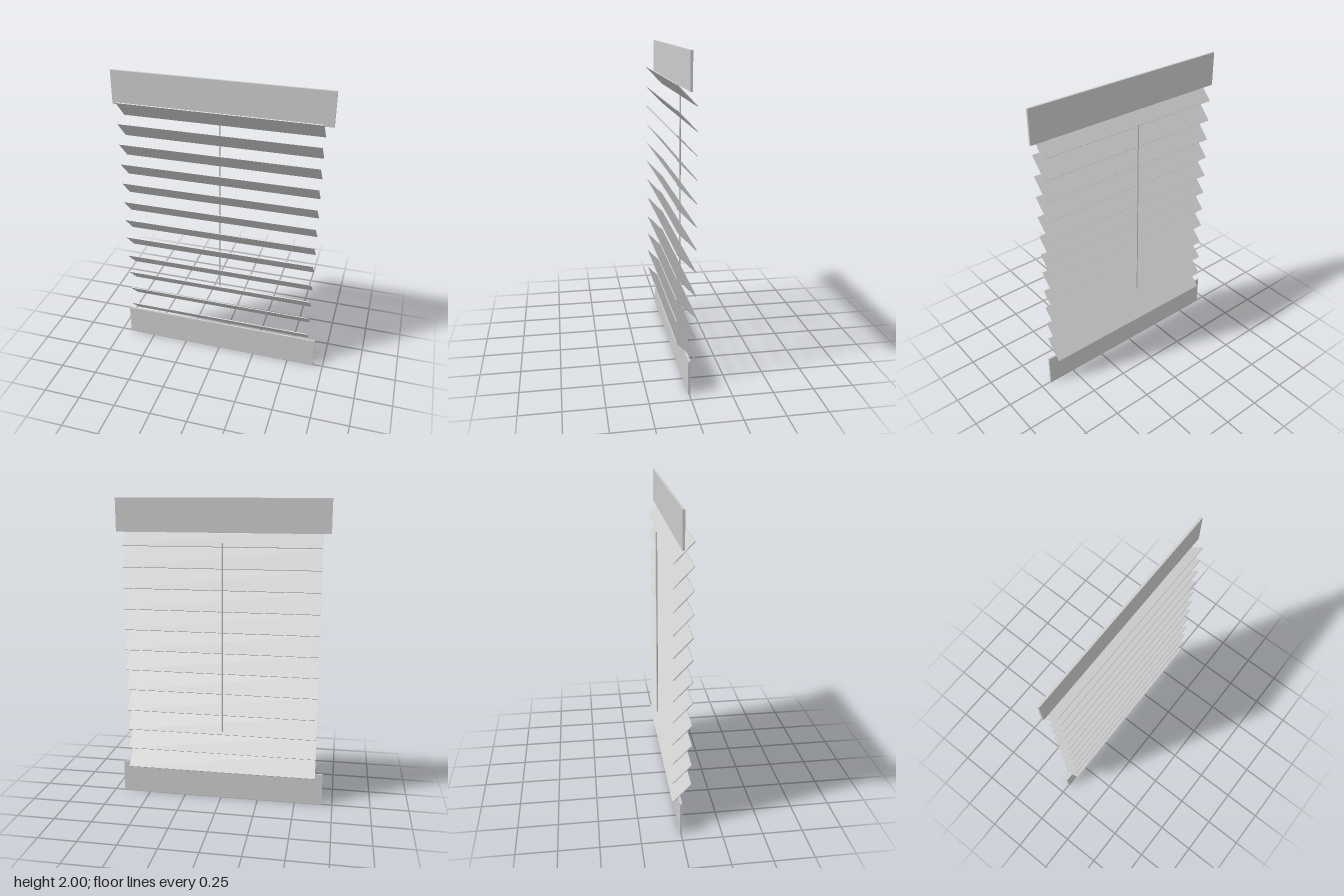
import * as THREE from 'three';

export function createModel() {
  const group = new THREE.Group();
  const material = new THREE.MeshStandardMaterial({ color: 0xcccccc, flatShading: true });

  function add(name, geometry, x, y, z) {
    const mesh = new THREE.Mesh(geometry, material);
    mesh.name = name;
    mesh.position.set(x, y, z);
    group.add(mesh);
    return mesh;
  }

  // Head and bottom rails
  const rail = new THREE.BoxGeometry(1.364, 0.214, 0.014);
  add('headRail', rail, 0, 1.893, 0);
  add('bottomRail', rail, 0, 0.107, 0);

  // Tilted slats, front edge up, with a slightly wider gap below the eighth
  const slat = new THREE.BoxGeometry(1.264, 0.005, 0.165);
  for (let i = 0; i < 12; i++) {
    const y = i < 8 ? 1.761 - i * 0.1363 : 0.661 - (i - 8) * 0.135;
    add('slat' + (i + 1), slat, 0, y, 0.012).rotation.x = THREE.MathUtils.degToRad(-46);
  }

  // Tilt wand hanging behind the slats
  add('tiltWand', new THREE.CylinderGeometry(0.0055, 0.0055, 1.23, 8), -0.018, 1.113, -0.066);

  return group;
}
